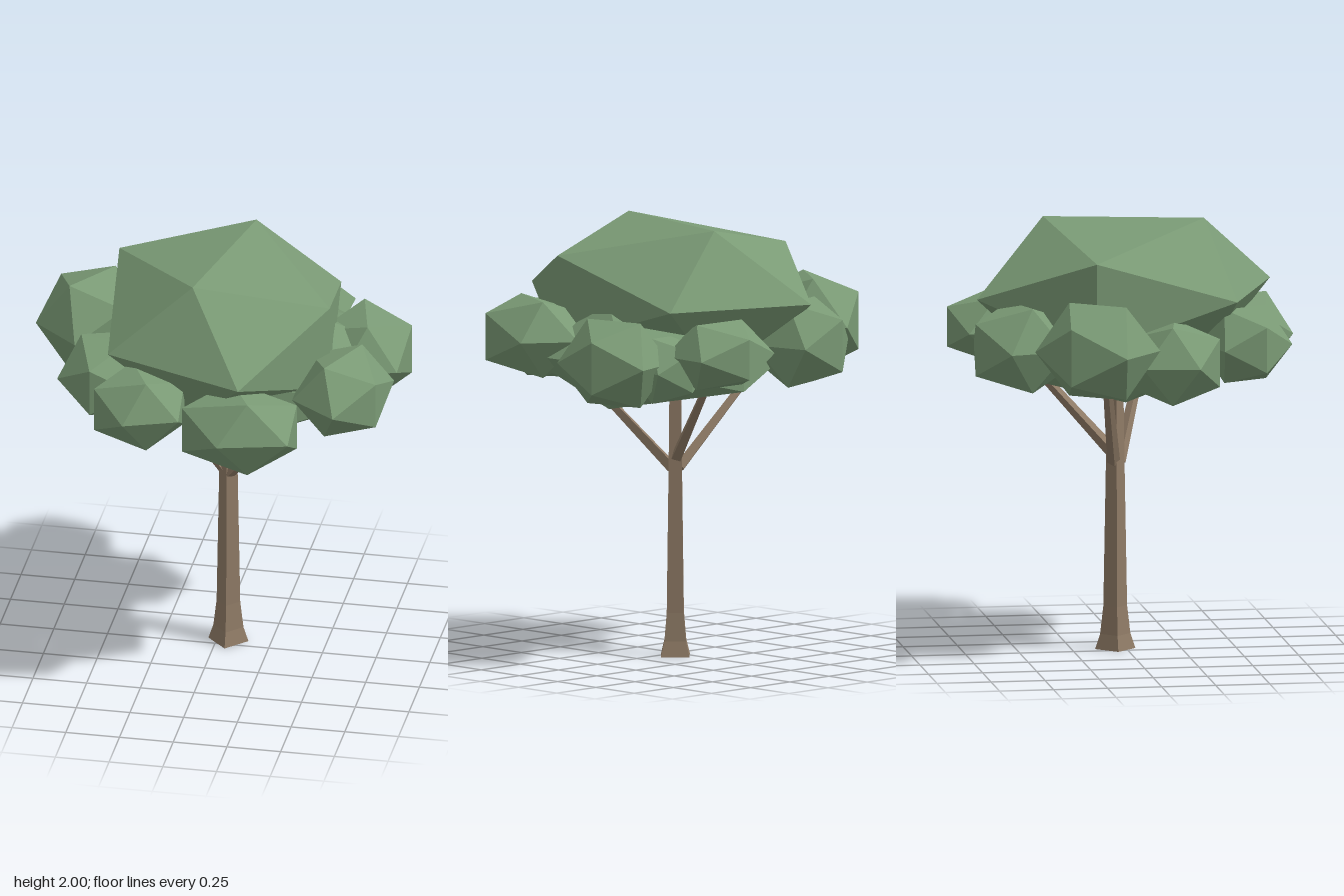
import * as THREE from 'three';

const material = (name, color, side = THREE.FrontSide) => {
  const m = new THREE.MeshStandardMaterial({ color, side, flatShading: true });
  m.name = name;
  return m;
};

export function createModel() {
  const tree = new THREE.Group();
  tree.name = 'tree';
  const bark = material('bark brown', 0x8f7b66, THREE.DoubleSide);
  const leaf = material('leaf green', 0x7a9a75);

  const add = (name, geometry, mat) => {
    const mesh = new THREE.Mesh(geometry, mat);
    mesh.name = name;
    tree.add(mesh);
    return mesh;
  };

  // Four-sided open trunk with a flared foot
  const profile = [[0.093, 0], [0.07, 0.07], [0.055, 0.2], [0.043, 0.87], [0.036, 1.35]];
  const trunk = add('trunk', new THREE.LatheGeometry(profile.map(([r, y]) => new THREE.Vector2(r, y)), 4), bark);
  trunk.position.set(0.053, 0, -0.05);

  // Tapered branches reaching up into the canopy
  const branch = (name, from, to) => {
    const a = new THREE.Vector3(...from);
    const b = new THREE.Vector3(...to);
    const dir = b.clone().sub(a);
    const mesh = add(name, new THREE.CylinderGeometry(0.02, 0.03, dir.length(), 4), bark);
    mesh.position.copy(a).addScaledVector(dir, 0.5);
    mesh.quaternion.setFromUnitVectors(new THREE.Vector3(0, 1, 0), dir.normalize());
  };
  branch('rightBranch', [0.035, 0.87, -0.06], [-0.4, 1.34, -0.16]);
  branch('leftBranch', [0.06, 0.87, -0.03], [0.41, 1.28, 0.13]);
  branch('backBranch', [0.065, 0.92, -0.07], [0.19, 1.28, -0.39]);

  // Large flattened crown masses: ridge axis, height and side axis of each
  const mass = (name, position, ridge, height, side) => {
    const geo = new THREE.IcosahedronGeometry(1, 0);
    geo.applyMatrix4(new THREE.Matrix4().makeBasis(
      new THREE.Vector3(ridge[0], 0, ridge[1]),
      new THREE.Vector3(0, height, 0),
      new THREE.Vector3(side[0], 0, side[1])));
    add(name, geo, leaf).position.set(...position);
  };
  mass('upperCrown', [0.042, 1.67, -0.014], [0.15, -0.685], 0.39, [0.622, 0.24]);
  mass('lowerCrown', [0.14, 1.43, -0.06], [0.69, -0.03], 0.285, [0.02, 0.6]);

  // Ring of leaf clumps: min corner, max corner, ridge direction in degrees
  const clumps = [
    [[0.45, 1.24, -0.525], [0.855, 1.63, 0.0], 105],
    [[0.44, 1.33, -0.02], [0.86, 1.68, 0.57], 60],
    [[-0.03, 1.24, 0.36], [0.48, 1.6, 0.79], 110],
    [[-0.46, 1.28, 0.29], [-0.05, 1.62, 0.715], 113],
    [[-0.69, 1.23, -0.07], [-0.28, 1.59, 0.345], -10],
    [[-0.86, 1.28, -0.52], [-0.37, 1.71, 0.05], 52],
    [[-0.5, 1.27, -0.755], [-0.05, 1.66, -0.32], 15],
    [[0.06, 1.32, -0.79], [0.52, 1.62, -0.37], -3],
    [[0.28, 1.25, -0.56], [0.6, 1.55, -0.23], 0],
  ];
  clumps.forEach(([min, max, turn], i) => {
    const geo = new THREE.IcosahedronGeometry(1, 0);
    geo.rotateY(THREE.MathUtils.degToRad(turn));
    geo.computeBoundingBox();
    const size = geo.boundingBox.getSize(new THREE.Vector3());
    const lo = new THREE.Vector3(...min);
    const hi = new THREE.Vector3(...max);
    const fit = hi.clone().sub(lo).divide(size);
    geo.scale(fit.x, fit.y, fit.z);
    add('leafClump' + (i + 1), geo, leaf).position.copy(lo.add(hi).multiplyScalar(0.5));
  });

  return tree;
}
